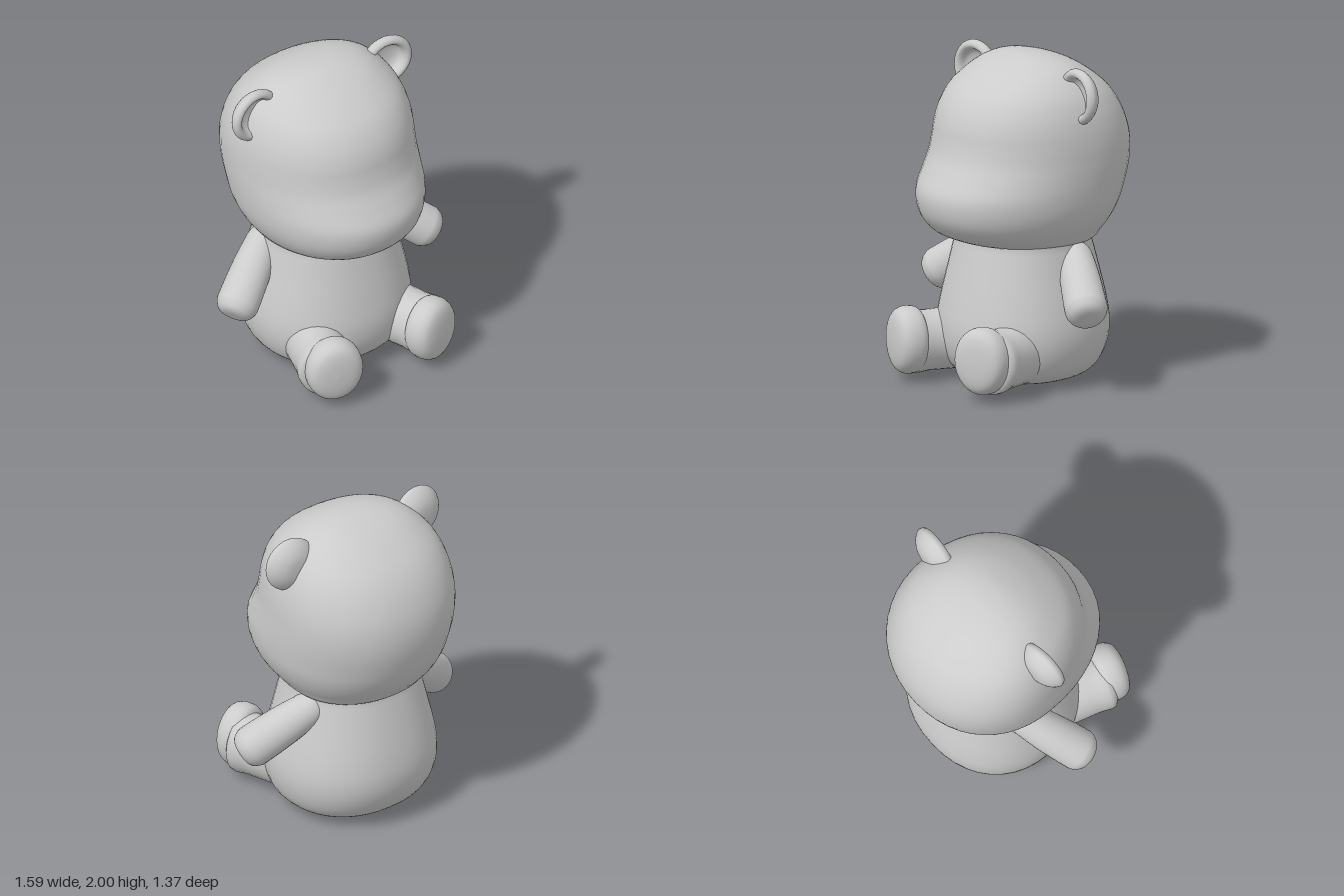
import * as THREE from 'three';

const material = new THREE.MeshStandardMaterial({ color: 0xcccccc });

function addMesh(parent, name, geometry) {
  const mesh = new THREE.Mesh(geometry, material);
  mesh.name = name;
  parent.add(mesh);
  return mesh;
}

// Smooth loft through horizontal sections [y, half width, front z, back z].
// mid places the widest point between back (0) and front (1); power squares the section.
function loft(rows, mid, power, steps = 40, sides = 40) {
  const widths = new THREE.SplineCurve(rows.map(r => new THREE.Vector2(r[0], r[1])));
  const depths = new THREE.SplineCurve(rows.map(r => new THREE.Vector2(r[2], r[3])));
  const bend = v => Math.sign(v) * Math.pow(Math.abs(v), 2 / power);
  const positions = [], index = [];
  for (let i = 0; i <= steps; i++) {
    const a = widths.getPoint(i / steps), d = depths.getPoint(i / steps);
    const centre = d.x * mid + d.y * (1 - mid);
    for (let j = 0; j < sides; j++) {
      const t = j / sides * Math.PI * 2, s = bend(Math.sin(t));
      const reach = s > 0 ? d.x - centre : centre - d.y;
      positions.push(Math.max(a.y, 0) * bend(Math.cos(t)), a.x, centre + s * reach);
      if (i === steps) continue;
      const k = i * sides + j, n = i * sides + (j + 1) % sides;
      index.push(k, k + sides, n, n, k + sides, n + sides);
    }
  }
  const geometry = new THREE.BufferGeometry();
  geometry.setAttribute('position', new THREE.Float32BufferAttribute(positions, 3));
  geometry.setIndex(index);
  geometry.computeVertexNormals();
  return geometry;
}

// Smooth turned shape from a few [radius, height] points
function turned(points, sides = 28) {
  const curve = new THREE.SplineCurve(points.map(p => new THREE.Vector2(p[0], p[1])));
  const profile = curve.getPoints(points.length * 3);
  profile.forEach(p => { p.x = Math.max(p.x, 0); });
  return new THREE.LatheGeometry(profile, sides);
}

export function createModel() {
  const bear = new THREE.Group();
  bear.name = 'toyBear';

  // Head with a soft muzzle low on the front
  addMesh(bear, 'head', loft([
    [0.865, 0, -0.05, -0.05],
    [0.865, 0.2, 0.15, -0.24],
    [0.87, 0.39, 0.33, -0.43],
    [0.93, 0.455, 0.5, -0.505],
    [1.01, 0.505, 0.59, -0.57],
    [1.1, 0.537, 0.63, -0.62],
    [1.2, 0.552, 0.632, -0.655],
    [1.3, 0.559, 0.58, -0.678],
    [1.4, 0.561, 0.525, -0.685],
    [1.5, 0.559, 0.495, -0.675],
    [1.6, 0.547, 0.475, -0.645],
    [1.7, 0.52, 0.435, -0.595],
    [1.8, 0.47, 0.36, -0.515],
    [1.9, 0.375, 0.225, -0.385],
    [1.96, 0.27, 0.11, -0.27],
    [1.993, 0.13, 0.01, -0.15],
    [2.0, 0, -0.07, -0.07],
  ], 0.45, 2.15, 64, 48));

  // Pear-shaped body, its neck tucked into the head
  addMesh(bear, 'body', loft([
    [0.005, 0, -0.05, -0.05],
    [0.01, 0.2, 0.15, -0.22],
    [0.045, 0.36, 0.3, -0.36],
    [0.11, 0.45, 0.39, -0.455],
    [0.22, 0.497, 0.44, -0.518],
    [0.35, 0.51, 0.45, -0.54],
    [0.5, 0.49, 0.425, -0.522],
    [0.7, 0.445, 0.38, -0.475],
    [0.87, 0.408, 0.34, -0.43],
    [0.95, 0.39, 0.32, -0.41],
    [0.96, 0, -0.05, -0.05],
  ], 0.5, 2.2));

  const up = new THREE.Vector3(0, 1, 0);
  for (const [side, s] of [['left', 1], ['right', -1]]) {
    // Ear: domed behind, with a hollow inside a rounded rim
    const ear = addMesh(bear, side + 'Ear', turned([
      [0, -0.065], [0.07, -0.06], [0.125, -0.035], [0.16, 0], [0.17, 0.025],
      [0.158, 0.05], [0.135, 0.057], [0.115, 0.04], [0.1, 0.005], [0.06, -0.015], [0, -0.02],
    ]).rotateX(Math.PI / 2));
    ear.position.set(s * 0.48, 1.8, -0.1);
    ear.rotation.y = -s * 0.08;

    // Arm: reaches down, out and forward, thicker at the paw
    const shoulder = new THREE.Vector3(s * 0.34, 0.815, -0.16);
    const paw = new THREE.Vector3(s * 0.74, 0.505, 0.065);
    const direction = paw.clone().sub(shoulder);
    const l = direction.length();
    const arm = addMesh(bear, side + 'Arm', turned([
      [0, -0.04], [0.06, -0.025], [0.095, 0.02], [0.108, 0.1], [0.122, 0.25],
      [0.129, l - 0.11], [0.124, l - 0.06], [0.1, l - 0.02], [0.06, l - 0.002], [0, l],
    ]));
    arm.position.copy(shoulder);
    arm.quaternion.setFromUnitVectors(up, direction.normalize());

    // Leg: points forward and slightly outward
    const leg = addMesh(bear, side + 'Leg', turned([
      [0, 0], [0.1, 0.005], [0.17, 0.04], [0.172, 0.15], [0.17, 0.3], [0.165, 0.42], [0, 0.43],
    ]).rotateX(Math.PI / 2).scale(1, 1.08, 1));
    leg.position.set(s * 0.245, 0.235, 0.13);
    leg.rotation.y = s * 0.306;

    // Foot: upright oval pad with a gently domed sole
    const foot = addMesh(bear, side + 'Foot', turned([
      [0, 0], [0.1, 0.004], [0.15, 0.02], [0.172, 0.055], [0.175, 0.11],
      [0.163, 0.15], [0.135, 0.178], [0.08, 0.194], [0, 0.2],
    ]).rotateX(Math.PI / 2).scale(1, 1.17, 1));
    foot.position.set(s * 0.322, 0.255, 0.468);
    foot.rotation.y = s * 0.306;
  }
  return bear;
}
